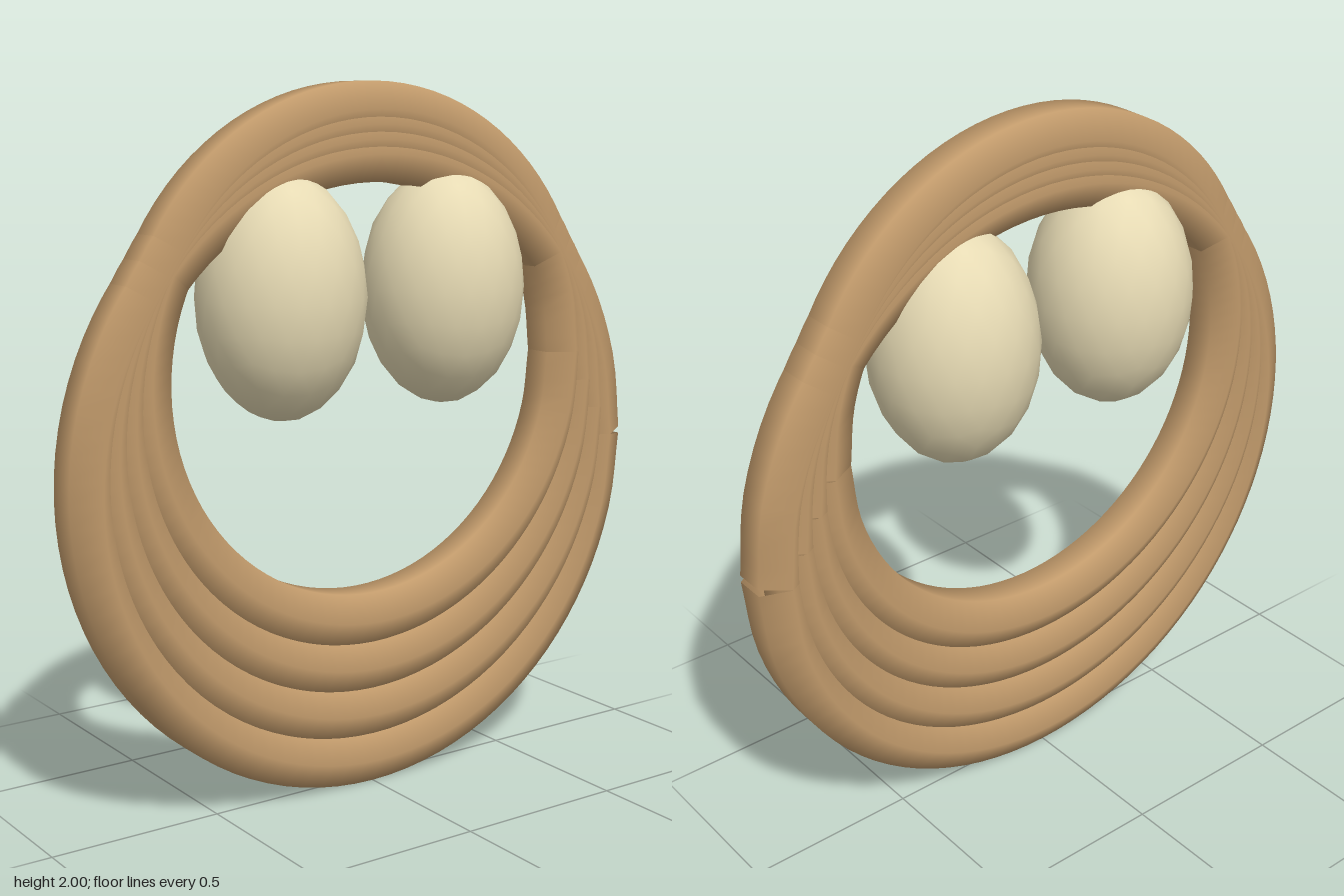
import * as THREE from 'three';

const wood = new THREE.MeshStandardMaterial({ color: 0xc19a6b, side: THREE.DoubleSide });
wood.name = 'tan wood';
const shell = new THREE.MeshStandardMaterial({ color: 0xe8dcb5 });
shell.name = 'cream shell';

// Six-sided tube bent into a hoop, its ends meeting in a small open seam at +x
function hoop(centerY, radius) {
  const steps = 24;
  const points = [];
  for (let i = 0; i <= steps; i++) {
    const a = (i / steps) * Math.PI * 2;
    points.push(new THREE.Vector3(Math.cos(a) * radius, centerY + Math.sin(a) * radius, 0));
  }
  const path = new THREE.CatmullRomCurve3(points);
  return new THREE.Mesh(new THREE.TubeGeometry(path, 96, 0.088, 6), wood);
}

export function createModel() {
  const model = new THREE.Group();
  model.name = 'hoopsWithEggs';

  // Four hoops, shrinking and rising so they fan out at the bottom and cross at the top
  for (let i = 0; i < 4; i++) {
    const t = i / 3;
    const ring = hoop(0.94 + 0.267 * t, 0.864 - 0.147 * t);
    ring.name = 'hoop' + (i + 1);
    model.add(ring);
  }

  // A pair of upright eggs under the top of the hoops
  const eggGeometry = new THREE.IcosahedronGeometry(1, 3);
  eggGeometry.rotateZ(Math.atan(2 / (1 + Math.sqrt(5))));
  eggGeometry.scale(0.235, 0.34, 0.235);
  for (const side of [-1, 1]) {
    const egg = new THREE.Mesh(eggGeometry, shell);
    egg.position.set(side * 0.275, 1.425, 0);
    egg.name = side > 0 ? 'leftEgg' : 'rightEgg';
    model.add(egg);
  }
  return model;
}
